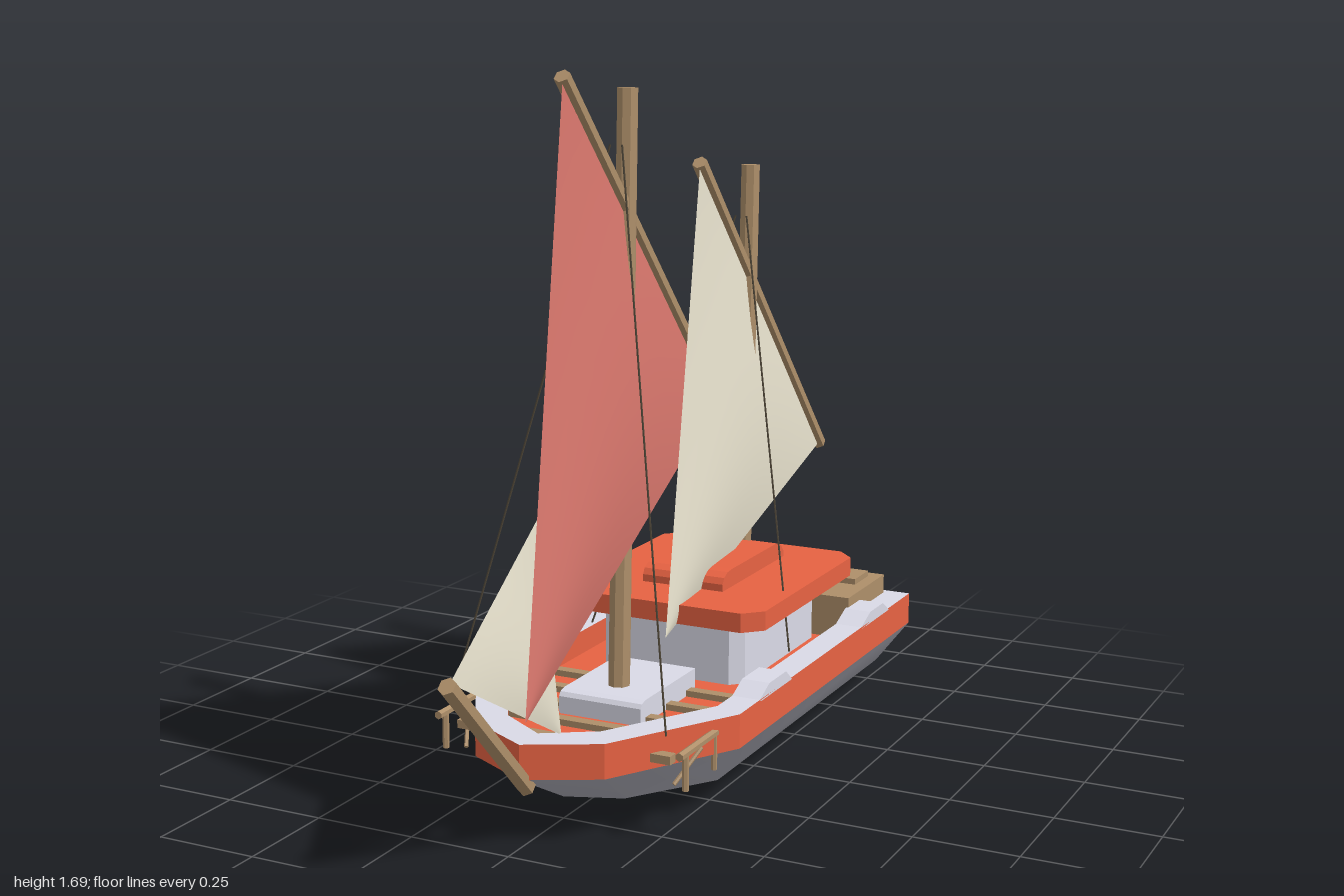
import * as THREE from 'three';
import { toCreasedNormals } from 'three/addons/utils/BufferGeometryUtils.js';

const mat = (name, color, extra = {}) => {
  const m = new THREE.MeshStandardMaterial({ color, flatShading: true, ...extra });
  m.name = name;
  return m;
};

export function createModel() {
  const boat = new THREE.Group();
  boat.name = 'sailingBoat';
  const orange = mat('orange paint', 0xe96343);
  const white = mat('pale grey paint', 0xdbdbe8);
  const grey = mat('hull grey', 0xaeaeb9, { flatShading: false });
  const wood = mat('wood', 0xae8f6a);
  const rope = mat('rope', 0x4a4234);
  const redCloth = mat('red sailcloth', 0xd9776d, { side: THREE.DoubleSide, flatShading: false });
  const cream = mat('cream sailcloth', 0xefe9d4, { side: THREE.DoubleSide, flatShading: false });

  const V = (x, y, z) => new THREE.Vector3(x, y, z);
  const add = (name, geo, material) => {
    const m = new THREE.Mesh(geo, material);
    m.name = name;
    boat.add(m);
    return m;
  };
  const box = (name, w, h, d, x, y, z, material) =>
    add(name, new THREE.BoxGeometry(w, h, d), material).position.set(x, y, z);
  const rod = (name, a, b, r0, r1, material, sides = 8) => {
    const m = add(name, new THREE.CylinderGeometry(r1, r0, a.distanceTo(b), sides), material);
    m.position.copy(a).lerp(b, 0.5);
    m.quaternion.setFromUnitVectors(V(0, 1, 0), b.clone().sub(a).normalize());
  };

  // Closed ring from a half outline running stern to bow
  const ring = (half, y) => [
    ...half.map(([x, z]) => V(x, y, z)),
    ...half.slice(0, -1).reverse().map(([x, z]) => V(-x, y, z)),
  ];
  const surface = (tris) => {
    const g = new THREE.BufferGeometry().setFromPoints(tris);
    g.computeVertexNormals();
    return g;
  };
  const loft = (rings) => {
    const t = [];
    for (let k = 0; k + 1 < rings.length; k++) {
      const a = rings[k], b = rings[k + 1], n = a.length;
      for (let i = 0; i < n; i++) {
        const j = (i + 1) % n;
        t.push(a[i], b[i], a[j], a[j], b[i], b[j]);
      }
    }
    return t;
  };
  const cap = (r, up) => {
    const t = [];
    for (let i = 1; i + 1 < r.length; i++) t.push(r[0], up ? r[i + 1] : r[i], up ? r[i] : r[i + 1]);
    return t;
  };

  // Hull
  const outer = [[0.348, -0.797], [0.348, 0.3], [0.165, 0.61], [0, 0.697]];
  const inner = [[0.278, -0.775], [0.278, 0.27], [0.12, 0.54], [0, 0.615]];
  const chine = [[0.27, -0.76], [0.27, 0.25], [0.13, 0.45], [0, 0.5]];
  const keel = [[0.16, -0.72], [0.16, 0.05], [0.08, 0.15], [0, 0.18]];
  const bottom = ring(keel, 0);
  add('lowerHull', toCreasedNormals(surface([...cap(bottom, false),
    ...loft([bottom, ring(chine, 0.052), ring(outer, 0.158)])]), 0.6), grey);
  add('strake', surface(loft([ring(outer, 0.158), ring(outer, 0.24)])), orange);
  add('railTop', surface(loft([ring(outer, 0.24), ring(inner, 0.24)])), white);
  const deck = ring(inner, 0.18);
  add('deckAndBulwark', surface([...loft([ring(inner, 0.24), deck]), ...cap(deck, true)]), orange);

  // Deck beams
  for (const z of [0.07, 0.18, 0.285, 0.385, 0.495]) {
    box('deckBeam', 0.55, 0.02, 0.028, 0, 0.185, z, wood);
  }

  // Side profile (z, y) extruded across x
  const across = (name, pts, width, x, material) => {
    const g = new THREE.ExtrudeGeometry(new THREE.Shape(pts.map((p) => new THREE.Vector2(...p))),
      { depth: width, bevelEnabled: false });
    g.rotateY(-Math.PI / 2).translate(x + width / 2, 0, 0);
    add(name, g, material);
  };
  for (const s of [-1, 1]) {
    across('foreRailBlock', [[0, 0.235], [0.2, 0.235], [0.134, 0.265], [0.037, 0.265]], 0.07, s * 0.313, white);
    across('aftRailBlock', [[-0.645, 0.235], [-0.435, 0.235], [-0.51, 0.265], [-0.6, 0.265]], 0.07, s * 0.313, white);
  }

  // Plan shape with cut corners, extruded upward
  const slab = (name, w, z0, z1, c, y0, y1, material) => {
    const h = w / 2;
    const pts = [[h, z0 + c], [h, z1 - c], [h - c, z1], [c - h, z1], [-h, z1 - c], [-h, z0 + c], [c - h, z0], [h - c, z0]];
    const g = new THREE.ExtrudeGeometry(new THREE.Shape(pts.map(([x, z]) => new THREE.Vector2(x, -z))),
      { depth: y1 - y0, bevelEnabled: false });
    g.rotateX(-Math.PI / 2).translate(0, y0, 0);
    add(name, g, material);
  };
  slab('cabinWalls', 0.385, -0.52, -0.04, 0.03, 0.18, 0.345, white);
  slab('cabinRoof', 0.545, -0.6, 0.035, 0.045, 0.342, 0.39, orange);
  across('skylight', [[-0.49, 0.388], [-0.115, 0.388], [-0.115, 0.408], [-0.124, 0.423], [-0.145, 0.433],
    [-0.17, 0.435], [-0.44, 0.435], [-0.475, 0.423], [-0.49, 0.405]], 0.22, 0, orange);
  across('foreHatch', [[0.035, 0.18], [0.325, 0.18], [0.325, 0.222], [0.318, 0.232], [0.3, 0.237], [0.035, 0.237]],
    0.215, 0, white);

  // Stern locker and rudder bar
  box('sternLocker', 0.565, 0.11, 0.255, 0, 0.235, -0.648, wood);
  box('lockerLid', 0.5, 0.015, 0.095, 0, 0.2975, -0.695, wood);
  rod('rudderBar', V(0.015, 0.11, -0.77), V(0.015, 0.04, -0.95), 0.018, 0.018, wood, 6);

  // Masts, yards and bowsprit
  rod('mainMast', V(0, 0.18, 0.228), V(0, 1.635, 0.172), 0.027, 0.025, wood);
  rod('mizzenMast', V(0, 0.38, -0.468), V(0, 1.405, -0.507), 0.026, 0.025, wood);
  rod('mainYard', V(0, 1.675, 0.478), V(0, 0.82, -0.312), 0.019, 0.019, wood, 6);
  rod('mizzenYard', V(0, 1.435, -0.205), V(0, 0.585, -0.988), 0.019, 0.019, wood, 6);
  rod('bowsprit', V(0, 0.13, 0.665), V(0, 0.46, 0.985), 0.021, 0.021, wood, 6);

  // Triangular sail: the edge a-b is held by the spar, c is the free corner
  const sail = (name, a, b, c, belly, material) => {
    const g = new THREE.PlaneGeometry(1, 1, 12, 12);
    const p = g.attributes.position;
    for (let i = 0; i < p.count; i++) {
      const u = p.getX(i) + 0.5, v = 0.5 - p.getY(i);
      const q = a.clone().lerp(b, u).lerp(c, v);
      q.x += belly * 4 * v * (1 - v) * Math.sin(Math.PI * u);
      p.setXYZ(i, q.x, q.y, q.z);
    }
    g.computeVertexNormals();
    add(name, g, material);
  };
  sail('mainSail', V(0.004, 1.67, 0.482), V(0.004, 0.825, -0.305), V(0.065, 0.325, 0.78), 0.031, redCloth);
  sail('mizzenSail', V(0.004, 1.43, -0.2), V(0.004, 0.59, -0.98), V(0.06, 0.325, 0.1), 0.029, cream);
  sail('jib', V(0.004, 0.465, 0.98), V(0.004, 0.73, 0.61), V(0.045, 0.235, 0.588), 0.012, cream);

  // Shrouds and anchors, mirrored
  for (const s of [-1, 1]) {
    rod('mainShroud', V(s * 0.015, 1.51, 0.23), V(s * 0.275, 0.25, 0.53), 0.0025, 0.0025, rope, 5);
    rod('mizzenShroud', V(s * 0.015, 1.28, -0.45), V(s * 0.275, 0.25, -0.15), 0.0025, 0.0025, rope, 5);
    rod('anchorStock', V(s * 0.31, 0.208, 0.345), V(s * 0.31, 0.208, 0.535), 0.01, 0.01, wood, 6);
    rod('anchorLegFront', V(s * 0.31, 0.12, 0.503), V(s * 0.31, 0.21, 0.503), 0.008, 0.008, wood, 6);
    rod('anchorLegBack', V(s * 0.31, 0.12, 0.355), V(s * 0.31, 0.21, 0.355), 0.007, 0.007, wood, 6);
    rod('anchorBrace', V(s * 0.27, 0.12, 0.48), V(s * 0.305, 0.19, 0.41), 0.005, 0.005, wood, 6);
  }
  return boat;
}
